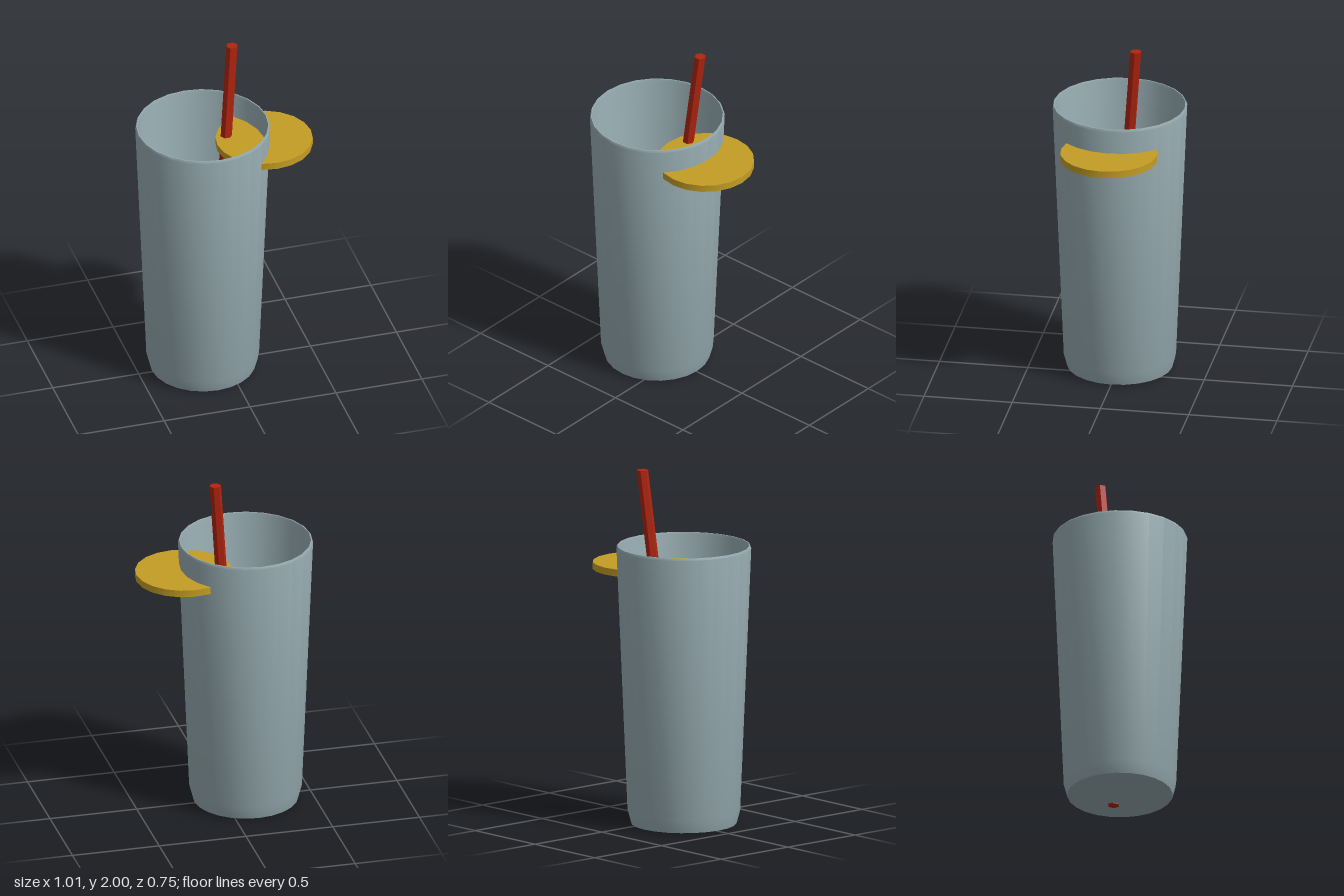
import * as THREE from 'three';
import { toCreasedNormals } from 'three/addons/utils/BufferGeometryUtils.js';

const paint = (name, color) => new THREE.MeshStandardMaterial({ name, color });

export function createModel() {
  const group = new THREE.Group();
  group.name = 'drink';
  const glassMat = paint('greyGlass', 0x94a9ae);
  const liquidMat = paint('limeLiquid', 0xabb538);
  const sliceMat = paint('goldenSlice', 0xc49d24);
  const strawMat = paint('redStraw', 0xb0240f);

  const add = (name, geometry, material, x, y, z) => {
    const mesh = new THREE.Mesh(toCreasedNormals(geometry, 0.5), material);
    mesh.name = name;
    mesh.position.set(x, y, z);
    group.add(mesh);
    return mesh;
  };
  const axisX = -0.127;

  // Tumbler: outer wall up, over the rim, inner wall down to the floor
  const profile = [
    [0, 0.005], [0.295, 0.005], [0.315, 0.08], [0.377, 1.573], [0.372, 1.585],
    [0.366, 1.585], [0.362, 1.573], [0.304, 0.12], [0.29, 0.07], [0, 0.07],
  ].map(([r, y]) => new THREE.Vector2(r, y));
  add('glass', new THREE.LatheGeometry(profile, 24), glassMat, axisX, 0, 0);

  // Drink filling the tumbler
  const bottom = 0.09, level = 1.05;
  add('liquid',
    new THREE.CylinderGeometry(0.336, 0.293, level - bottom, 22, 1, false, Math.PI / 2),
    liquidMat, axisX, (level + bottom) / 2, 0);

  // Fruit slice pushed through the wall
  add('fruitSlice', new THREE.CylinderGeometry(0.272, 0.272, 0.04, 20), sliceMat, 0.23, 1.42, 0);

  // Bent straw: upright below, leaning above, with horizontal end cuts
  const strawPart = (name, a, b) => {
    const h = b.y - a.y;
    const geo = new THREE.CylinderGeometry(0.033, 0.033, h, 6, 1, false, Math.PI / 2);
    const lean = new THREE.Matrix4().set(
      1, (b.x - a.x) / h, 0, 0,
      0, 1, 0, 0,
      0, (b.z - a.z) / h, 1, 0,
      0, 0, 0, 1);
    geo.applyMatrix4(lean);
    const mid = a.clone().add(b).multiplyScalar(0.5);
    add(name, geo, strawMat, mid.x, mid.y, mid.z);
  };
  const foot = new THREE.Vector3(0, 0, -0.046);
  const bend = new THREE.Vector3(0, 1.03, -0.046);
  const tip = new THREE.Vector3(0.08, 2, -0.126);
  strawPart('strawLower', foot, bend);
  strawPart('strawUpper', bend, tip);

  return group;
}
